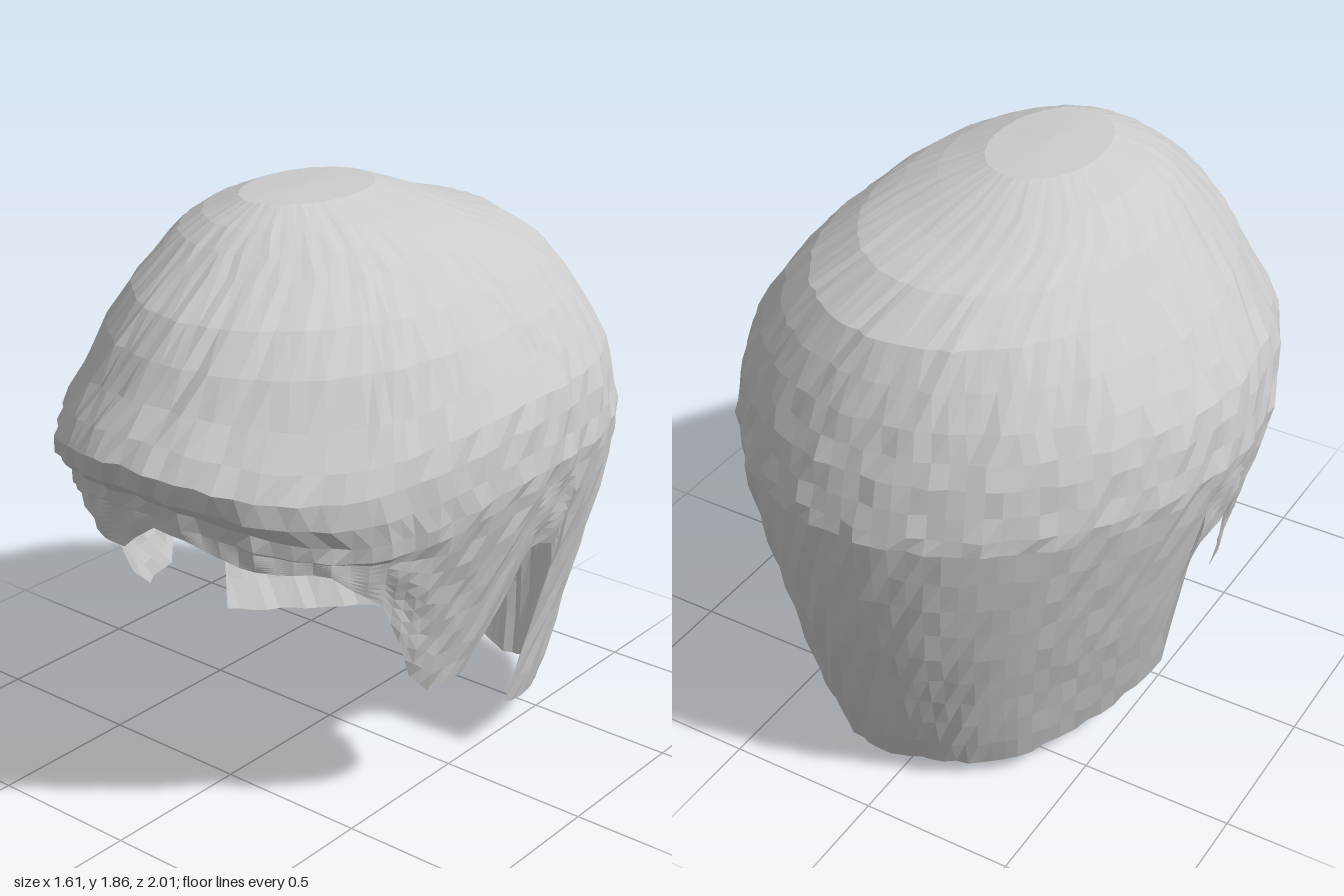
import * as THREE from 'three';

// Horizontal sections of the hair: [y, front z, back z, half width, centre z]
const SECTIONS = [
  [1.86, 0.08, 0.08, 0, 0.08],
  [1.85, 0.32, -0.18, 0.17, 0.06],
  [1.8, 0.43, -0.32, 0.3, 0.03],
  [1.75, 0.51, -0.45, 0.39, 0],
  [1.7, 0.58, -0.63, 0.45, -0.03],
  [1.6, 0.72, -0.78, 0.55, -0.06],
  [1.5, 0.81, -0.84, 0.64, -0.08],
  [1.4, 0.88, -0.89, 0.71, -0.1],
  [1.32, 0.95, -0.92, 0.76, -0.1],
  [1.25, 1.0, -0.95, 0.78, -0.1],
  [1.17, 0.97, -0.97, 0.79, -0.1],
  [1.1, 0.88, -0.99, 0.8, -0.1],
  [1.05, 0.87, -1.0, 0.79, -0.1],
  [0.9, 0.86, -0.99, 0.76, -0.1],
  [0.8, 0.84, -0.98, 0.73, -0.1],
  [0.6, 0.82, -0.95, 0.68, -0.1],
  [0.4, 0.8, -0.9, 0.63, -0.1],
  [0.2, 0.78, -0.85, 0.59, -0.1],
  [0, 0.74, -0.78, 0.54, -0.1],
];

// Lower edge as [degrees from the front, y]: a fringe for each side,
// then the sideburn, ear notch and nape shared by both
const LEFT_FRINGE = [[0, 1.01], [7, 1.01], [18, 0.95], [38, 0.93]];
const RIGHT_FRINGE = [[0, 1.01], [7, 0.91], [14, 0.9], [20, 0.93], [28, 0.97], [38, 0.95]];
const SIDE_HEM = [
  [50, 0.8], [55, 0.66], [60, 0.5], [66, 0.42], [76, 0.43], [80, 0.54], [84, 0.65],
  [86.5, 0.8], [92, 0.81], [97, 0.78], [99, 0.7], [100, 0.18], [108, 0.14],
  [125, 0.09], [150, 0.05], [165, 0.03], [180, 0.03],
];

const UPPER_ROWS = 13;
const LOWER_ROWS = 9;
const { lerp, clamp, smoothstep, degToRad } = THREE.MathUtils;

function section(y) {
  let i = 0;
  while (i < SECTIONS.length - 2 && SECTIONS[i + 1][0] > y) i++;
  const a = SECTIONS[i], b = SECTIONS[i + 1];
  const t = clamp((a[0] - y) / (a[0] - b[0]), 0, 1);
  return a.map((v, k) => lerp(v, b[k], t));
}

// Columns of one side, front to back; the nape dips to the left of centre
function sideColumns(fringe, tilt) {
  const hem = [...fringe, ...SIDE_HEM];
  const columns = [];
  for (let i = 0; i < hem.length - 1; i++) {
    const [a0, y0] = hem[i], [a1, y1] = hem[i + 1];
    const n = Math.max(1, Math.ceil((a1 - a0) / 4));
    for (let k = 0; k < n; k++) {
      const a = lerp(a0, a1, k / n);
      const dip = a > 150 ? tilt * Math.sin(degToRad(6 * (180 - a))) : 0;
      columns.push([a, lerp(y0, y1, k / n) - dip]);
    }
  }
  columns.push(hem[hem.length - 1]);
  return columns;
}

// Point at an angle: profileY picks the section, y is the final height
function surfacePoint(deg, profileY, y) {
  const [, front, back, width, centre] = section(profileY);
  const a = degToRad(deg);
  const c = Math.cos(a), s = Math.sin(a);
  // Locks as shallow, crossing waves
  const locks = 0.009 * Math.sin(23 * a + 11 * y) * Math.sin(19 * y + 5 * a)
    + 0.006 * Math.sin(41 * a - 27 * y);
  const scale = 1 + locks;
  // Squarer temples below the fringe line
  const power = c > 0 ? lerp(0.84, 1, smoothstep(y, 0.95, 1.2)) : 1;
  const lean = 0.05 * Math.abs(c) * (1 - smoothstep(y, 1.5, 1.8)) - 0.03 * smoothstep(y, 1.6, 1.85);
  const x = Math.sign(s) * Math.abs(s) ** power * width * scale + lean;
  let z = centre + c * (c > 0 ? front - centre : centre - back) * scale;
  // Front corners of the nape sweep forward, further on the right
  const side = Math.min(deg, 360 - deg);
  if (side > 98) {
    const sweep = deg > 180 ? 0.38 : 0.15;
    z += sweep * Math.max(0, 0.5 - y) * Math.max(0, 1 - (side - 98) / 40);
  }
  return [x, y, z];
}

function hairGeometry() {
  const right = sideColumns(RIGHT_FRINGE, -0.03).slice(1, -1).reverse();
  const columns = [...sideColumns(LEFT_FRINGE, 0.03), ...right.map(([a, y]) => [360 - a, y])];
  const rows = UPPER_ROWS + LOWER_ROWS;
  const positions = [];
  const indices = [];
  columns.forEach(([deg, hem], i) => {
    // The overhanging rim droops towards the temples
    const a = degToRad(deg);
    const droop = Math.cos(a) > 0 ? 0.08 * Math.sin(2 * a) ** 2 : 0;
    for (let j = 0; j < UPPER_ROWS; j++) {
      const y = SECTIONS[j][0];
      positions.push(...surfacePoint(deg, y, y - droop * (1 - smoothstep(y, 1.25, 1.6))));
    }
    for (let j = 1; j <= LOWER_ROWS; j++) {
      const y = lerp(1.05 - droop, hem, j / LOWER_ROWS);
      positions.push(...surfacePoint(deg, y, y));
    }
    const next = (i + 1) % columns.length;
    for (let j = 0; j < rows - 1; j++) {
      const p = i * rows + j, q = next * rows + j;
      if (j > 0) indices.push(p, p + 1, q);
      indices.push(p + 1, q + 1, q);
    }
  });
  const geometry = new THREE.BufferGeometry();
  geometry.setAttribute('position', new THREE.Float32BufferAttribute(positions, 3));
  geometry.setIndex(indices);
  geometry.computeVertexNormals();
  return geometry;
}

export function createModel() {
  const group = new THREE.Group();
  group.name = 'hairpiece';
  // Thin open shell, seen from inside as well
  const material = new THREE.MeshStandardMaterial({
    color: 0xcccccc, flatShading: true, side: THREE.DoubleSide,
  });
  const hair = new THREE.Mesh(hairGeometry(), material);
  hair.name = 'hair';
  group.add(hair);
  return group;
}
